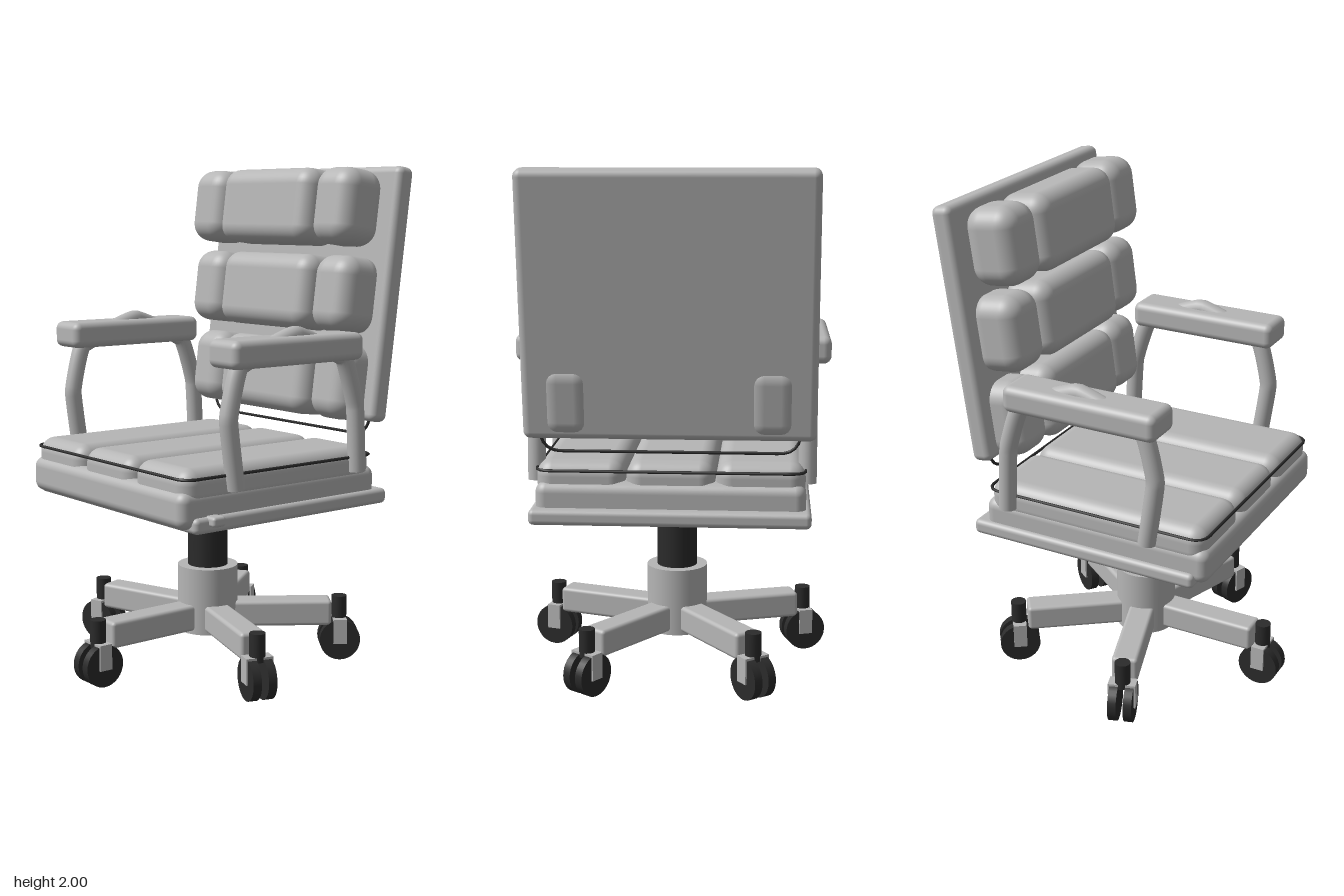
import * as THREE from 'three';
import { RoundedBoxGeometry } from 'three/addons/geometries/RoundedBoxGeometry.js';

const grey = new THREE.MeshStandardMaterial({ color: 0xb6b6b6 });
grey.name = 'light grey';
const black = new THREE.MeshStandardMaterial({ color: 0x2b2b2b });
black.name = 'black';

function add(parent, name, geometry, material, x = 0, y = 0, z = 0) {
  const mesh = new THREE.Mesh(geometry, material);
  mesh.name = name;
  mesh.position.set(x, y, z);
  parent.add(mesh);
  return mesh;
}

// Rounded box given by its size and corner radius
const rbox = (w, h, d, r, seg = 5) => new RoundedBoxGeometry(w, h, d, seg, r);

// Thin closed cord around a rounded rectangle in the XY plane
function cord(x0, y0, x1, y1, r) {
  const s = new THREE.Shape();
  s.absarc(x1 - r, y0 + r, r, -Math.PI / 2, 0);
  s.absarc(x1 - r, y1 - r, r, 0, Math.PI / 2);
  s.absarc(x0 + r, y1 - r, r, Math.PI / 2, Math.PI);
  s.absarc(x0 + r, y0 + r, r, Math.PI, Math.PI * 1.5);
  s.closePath();
  const pts = s.getSpacedPoints(120).slice(0, -1).map(p => new THREE.Vector3(p.x, p.y, 0));
  return new THREE.TubeGeometry(new THREE.CatmullRomCurve3(pts, true), 160, 0.006, 6, true);
}

function buildBase() {
  const base = new THREE.Group();
  base.name = 'base';
  base.position.z = -0.01;
  add(base, 'hub', new THREE.CylinderGeometry(0.122, 0.122, 0.27, 40), grey, 0, 0.265);
  add(base, 'column', new THREE.CylinderGeometry(0.081, 0.081, 0.27, 32), black, 0, 0.525);

  // Five legs with twin-wheel casters
  for (let i = 0; i < 5; i++) {
    const arm = new THREE.Group();
    arm.name = 'legWithCaster';
    arm.rotation.y = i * Math.PI * 2 / 5;
    base.add(arm);
    add(arm, 'leg', rbox(0.105, 0.105, 0.46, 0.015, 3), grey, 0, 0.197, 0.275);

    const caster = new THREE.Group();
    caster.name = 'caster';
    caster.position.z = 0.541;
    arm.add(caster);
    add(caster, 'casterPost', new THREE.CylinderGeometry(0.031, 0.031, 0.11, 20), black, 0, 0.205);
    add(caster, 'forkBridge', new THREE.BoxGeometry(0.11, 0.02, 0.055), grey, 0, 0.16);
    for (const s of [-1, 1]) {
      const wheel = add(caster, 'wheel', new THREE.CylinderGeometry(0.083, 0.083, 0.034, 32), black, s * 0.031, 0.083);
      wheel.rotation.z = Math.PI / 2;
      add(caster, 'forkSide', new THREE.BoxGeometry(0.008, 0.1, 0.055), grey, s * 0.051, 0.118);
    }
  }
  return base;
}

function buildSeat() {
  const seat = new THREE.Group();
  seat.name = 'seat';
  add(seat, 'mountPlate', rbox(0.56, 0.04, 0.435, 0.015, 3), black, 0, 0.665, -0.017);
  add(seat, 'seatPan', rbox(1.06, 0.06, 0.96, 0.02, 4), grey, 0, 0.705, -0.02);
  add(seat, 'seatBody', rbox(1.02, 0.14, 0.965, 0.04), grey, 0, 0.76, 0.025);
  add(seat, 'leverKnob', rbox(0.09, 0.038, 0.058, 0.012, 3), grey, 0.515, 0.72, 0.372);

  // Three long padded channels
  for (const i of [-1, 0, 1]) {
    add(seat, 'seatCushion', rbox(0.336, 0.15, 0.93, 0.06), grey, i * 0.34, 0.835, 0.025);
  }
  const piping = add(seat, 'seatPiping', cord(-0.507, -0.49, 0.507, 0.445, 0.05), black, 0, 0.875, 0);
  piping.rotation.x = -Math.PI / 2;
  return seat;
}

function buildBack() {
  const back = new THREE.Group();
  back.name = 'backrest';
  const tilt = -0.13;

  const shell = new THREE.Group();
  shell.name = 'backShell';
  shell.position.set(0, 1.5, -0.503);
  shell.rotation.x = tilt;
  back.add(shell);
  add(shell, 'backPanel', rbox(1.09, 0.998, 0.085, 0.028, 4), grey);
  add(shell, 'backPiping', cord(-0.485, -0.555, 0.485, 0.45, 0.07), black);

  // Three rows of three pads
  for (const y of [1.155, 1.5, 1.84]) {
    const pads = [add(back, 'centrePad', rbox(0.55, 0.3, 0.22, 0.068), grey, 0, y, -0.388)];
    for (const s of [-1, 1]) {
      pads.push(add(back, 'sidePad', rbox(0.212, 0.3, 0.22, 0.075), grey, s * 0.381, y, -0.4));
    }
    pads.forEach(p => { p.rotation.x = tilt; });
  }
  return back;
}

// Armrest: bent tube frame passing through a padded top
function buildArmrest(side) {
  const arm = new THREE.Group();
  arm.name = side > 0 ? 'leftArmrest' : 'rightArmrest';
  arm.position.x = side * 0.515;
  const pts = [[0.82, 0.265], [1.08, 0.3], [1.27, 0.25], [1.37, -0.015], [1.27, -0.265], [1.08, -0.33], [0.82, -0.345]]
    .map(([y, z]) => new THREE.Vector3(0, y, z));
  const path = new THREE.CatmullRomCurve3(pts, false, 'catmullrom', 0.15);
  add(arm, 'armTube', new THREE.TubeGeometry(path, 90, 0.035, 16), grey);
  for (const p of [pts[0], pts[6]]) {
    const cap = add(arm, 'tubeEnd', new THREE.CircleGeometry(0.035, 16), grey, 0, p.y, p.z);
    cap.rotation.x = Math.PI / 2;
  }
  add(arm, 'armPad', rbox(0.17, 0.105, 0.637, 0.03, 4), grey, 0, 1.318, 0.018);
  return arm;
}

export function createModel() {
  const chair = new THREE.Group();
  chair.name = 'officeChair';
  chair.add(buildBase(), buildSeat(), buildBack(), buildArmrest(1), buildArmrest(-1));
  return chair;
}
